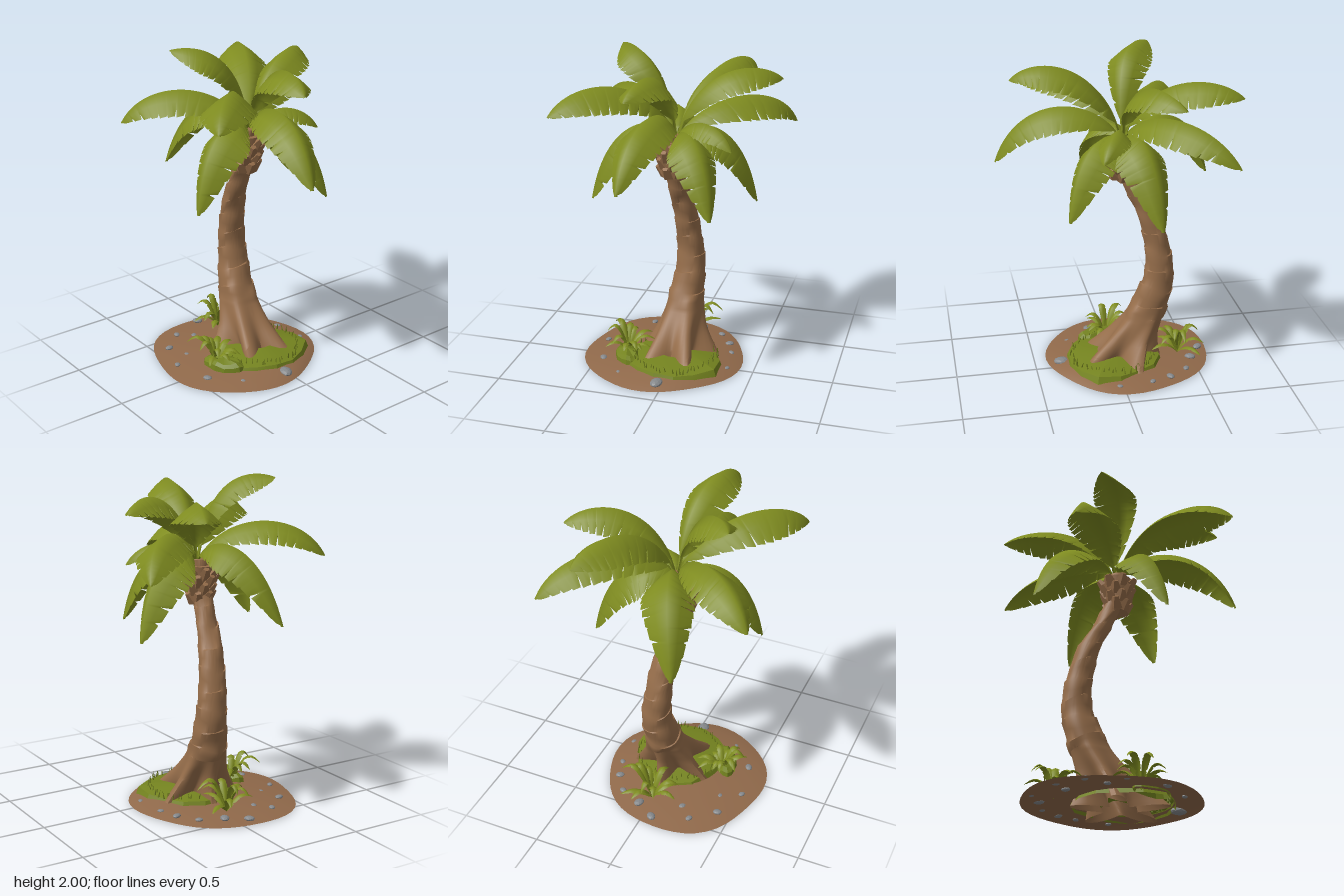
import * as THREE from 'three';
import { toCreasedNormals } from 'three/addons/utils/BufferGeometryUtils.js';

const V = (x, y, z) => new THREE.Vector3(x, y, z);
const mat = (name, color, side = THREE.FrontSide) => Object.assign(new THREE.MeshStandardMaterial({ color, side }), { name });

// seeded random numbers
function makeRandom(seed) {
  let s = seed;
  return () => (s = (s * 16807) % 2147483647) / 2147483647;
}

// surface from a rule: rows x cols of points
function grid(rows, cols, point, crease = 0.6) {
  const pos = [], idx = [];
  for (let j = 0; j < rows; j++) for (let i = 0; i < cols; i++) {
    const p = point(i, j);
    pos.push(p.x, p.y, p.z);
    if (i < cols - 1 && j < rows - 1) {
      const a = j * cols + i, b = a + 1, c = a + cols, d = c + 1;
      idx.push(a, c, b, b, c, d);
    }
  }
  const g = new THREE.BufferGeometry();
  g.setAttribute('position', new THREE.Float32BufferAttribute(pos, 3));
  g.setIndex(idx);
  return toCreasedNormals(g, crease);
}

// drooping leaf along a curve, with slits cut into both edges
function leaf(curve, width, leaflets, rnd, roof = 0.74, stem = 0.08) {
  const rows = [{ t: 0, k: [1, 1] }];
  for (let n = 0; n < leaflets; n++) {
    const at = f => stem + (1 - stem) * (n + f) / leaflets;
    const cut = () => (rnd() < 0.25 ? 0.95 : 0.55 + 0.35 * rnd());
    rows.push({ t: at(0), k: [1, 1] }, { t: at(0.4), k: [1.02, 1.02] },
      { t: at(0.78), k: [1.05, 1.05] }, { t: at(0.89), k: [cut(), cut()] });
  }
  rows.push({ t: 1, k: [1, 1] });
  const a = curve.getPoint(0), b = curve.getPoint(1);
  const side = V(b.z - a.z, 0, a.x - b.x).normalize();
  return grid(rows.length, 5, (i, j) => {
    const { t, k } = rows[j], u = (i - 2) / 2, m = Math.abs(u);
    const tt = Math.min(1, Math.max(0, (t - stem) / (1 - stem)));
    const w = Math.max(width * 0.07, width * Math.pow(Math.max(0, Math.sin(Math.PI * Math.pow(tt, 0.93))), 0.6));
    const tan = curve.getTangent(t), nor = V().crossVectors(tan, side).normalize();
    const r = w * (m === 1 ? k[u < 0 ? 0 : 1] : m);
    return curve.getPoint(t).addScaledVector(side, Math.sign(u) * r * 0.88)
      .addScaledVector(nor, -roof * r * Math.pow(m, 0.2)).addScaledVector(tan, 0.2 * r * (1 - tt));
  }, 1.4);
}

export function createModel() {
  const root = new THREE.Group();
  root.name = 'palmTree';
  const rnd = makeRandom(4242);
  const bark = mat('bark brown', 0x956d4a, THREE.DoubleSide);
  const soil = mat('soil brown', 0x90694a, THREE.DoubleSide);
  const green = mat('frond green', 0x7f8c20, THREE.DoubleSide);
  const grass = mat('grass green', 0x74831f, THREE.DoubleSide);
  const gray = mat('stone gray', 0x85888b);
  const add = (name, geo, m, parent = root) => {
    const mesh = new THREE.Mesh(geo, m);
    mesh.name = name;
    parent.add(mesh);
    return mesh;
  };
  const group = name => {
    const g = new THREE.Group();
    g.name = name;
    root.add(g);
    return g;
  };

  // thin irregular ring of soil rising toward the trunk, open in the middle
  add('soilPatch', grid(5, 49, (i, j) => {
    const a = i / 48 * Math.PI * 2, f = j / 4;
    const rim = 0.505 + 0.01 * Math.sin(3 * a + 1) + 0.01 * Math.sin(5 * a);
    const r = rim * (1 - f) + 0.27 * f;
    return V(-0.1 * (1 - f) - 0.02 * f + r * Math.cos(a), 0.004 + 0.041 * Math.pow(f, 0.8), -0.1 * (1 - f) + 0.01 * f + r * 1.03 * Math.sin(a));
  }), soil);

  // trunk: horizontal rings with root lobes below and overlapping bark steps above
  const spine = [ // y, x, z, radius, lobe strength
    [0, 0, -0.01, 0.135, 1.25], [0.05, 0, -0.03, 0.135, 0.95], [0.12, 0, -0.065, 0.137, 0.58],
    [0.2, 0, -0.11, 0.13, 0.3], [0.3, 0.005, -0.17, 0.119, 0.12], [0.4, 0.01, -0.22, 0.108, 0.03],
    [0.6, 0.025, -0.275, 0.09, 0], [0.8, 0.012, -0.265, 0.08, 0], [1, -0.008, -0.21, 0.072, 0],
    [1.2, -0.032, -0.11, 0.06, 0], [1.35, -0.04, -0.055, 0.058, 0], [1.5, -0.03, -0.04, 0.05, 0]];
  const path = new THREE.CatmullRomCurve3(spine.map(s => V(s[1], s[0], s[2])));
  const size = new THREE.CatmullRomCurve3(spine.map(s => V(s[3], s[4], 0)));
  const lobes = [62, 130, 205, 272, 338].map(d => d * Math.PI / 180);
  const rings = [];
  for (let n = 0; n <= 18; n++) rings.push({ t: n / 18 * 0.4, k: 1 });
  for (let n = 0; n < 11; n++) {
    const t0 = 0.406 + n * 0.054;
    rings.push({ t: t0 + 0.003, k: 0.98 }, { t: t0 + 0.027, k: 1 }, { t: t0 + 0.052, k: 1.05 });
  }
  rings.push({ t: 1, k: 1 }, { t: 1, k: 0 });
  add('trunk', grid(rings.length, 61, (i, j) => {
    const { t, k } = rings[j], a = i / 60 * Math.PI * 2;
    const c = path.getPoint(t), s = size.getPoint(t);
    let lobe = -0.35;
    for (const l of lobes) lobe += Math.pow(Math.max(0, Math.cos(a - l)), 16) * 1.35;
    const r = k * s.x * (1 + s.y * lobe);
    const tilt = t > 0.4 && t < 0.99 ? 0.012 * Math.sin(a * 2 + j) + 0.2 * r * Math.sin(a) : 0;
    return V(c.x + r * Math.cos(a), c.y + tilt, c.z + r * Math.sin(a));
  }, 0.7), bark);

  // husk of chunky cut leaf stubs under the crown
  const crownHusk = group('crownHusk');
  add('huskCore', new THREE.CylinderGeometry(0.09, 0.068, 0.19, 12), bark, crownHusk).position.set(-0.037, 1.365, -0.045);
  for (let row = 0; row < 4; row++) for (let n = 0; n < 7; n++) {
    const a = (n + row * 0.5) / 7 * Math.PI * 2, r = 0.066 + row * 0.009;
    const stub = add('leafStub', toCreasedNormals(new THREE.CylinderGeometry(0.02, 0.046, 0.07, 5), 0.3), bark, crownHusk);
    stub.position.set(-0.037 + r * Math.cos(a), 1.272 + row * 0.05 + 0.012 * rnd(), -0.047 + r * Math.sin(a));
    stub.rotation.set(0, -a, -0.7, 'YXZ');
    stub.scale.x = 0.75;
  }

  // fronds: tip x, y, z, height of the arch at mid length, half width, sideways bend x, z
  const fronds = [
    [-0.62, 1.53, -0.5, 1.73, 0.16, 0, 0], [-0.23, 1.17, -0.63, 1.6, 0.17, 0.05, 0], [0.33, 1.8, -0.69, 1.87, 0.16, 0.04, 0.02],
    [0.62, 1.48, -0.6, 1.7, 0.16, 0.04, 0.05], [0.58, 1.82, -0.29, 1.88, 0.15, 0, 0.06], [0.37, 1.47, 0.13, 1.6, 0.1, 0, -0.02],
    [0.29, 1.1, 0.32, 1.52, 0.165, 0, 0], [-0.13, 1.85, 0.6, 1.92, 0.15, 0.02, 0], [-0.15, 1.35, 0.7, 1.69, 0.165, 0, 0],
    [-0.62, 1.7, 0.48, 1.83, 0.17, -0.02, -0.02], [-0.41, 1.98, -0.28, 1.95, 0.145, 0, 0.08], [-0.5, 1.1, 0.1, 1.55, 0.175, 0, 0],
    [0.46, 1.07, -0.2, 1.53, 0.18, 0, 0]];
  const crown = group('crown');
  for (const [x, y, z, arch, w, bx, bz] of fronds) {
    const c = V(-0.01, 1.48, -0.05), h = (arch - (c.y + y) / 8) / 0.75;
    const at = f => V(c.x + (x - c.x) * f + bx, h, c.z + (z - c.z) * f + bz);
    add('frond', leaf(new THREE.CubicBezierCurve3(c, at(0.2), at(0.82), V(x, y, z)), w, 12, rnd), green, crown);
  }

  // grassy mounds around the roots: faceted shells, inner is the radius of the top row
  const mound = (name, cx, cz, rx, rz, h, turn, inner) => {
    const m = add(name, grid(4, 15, (i, j) => {
      const a = (i % 14) / 14 * Math.PI * 2, k = 1 + 0.06 * Math.sin(a * 3 + cx * 9) + 0.04 * Math.sin(a * 5);
      const r = [1, 0.95, 0.72, inner][j] * k, y = [0.25, 0.66, 0.85, 1][j];
      return V(rx * r * Math.cos(a), h * y * (j === 1 || j === 2 ? 1 + 0.1 * Math.sin(a * 4) : 1), rz * r * Math.sin(a));
    }, 0.3), grass);
    m.position.set(cx, 0, cz);
    m.rotation.y = turn;
  };
  mound('grassMound', 0, 0.015, 0.305, 0.305, 0.092, 0, 0.32);
  mound('sideMound', -0.3, 0.07, 0.14, 0.07, 0.1, -1.1, 0);

  // fringe of short grass blades
  const fringe = group('grassFringe');
  for (let n = 0; n < 60; n++) {
    const a = (n + rnd()) / 60 * Math.PI * 2, r = 0.24 + 0.03 * rnd();
    const blade = add('grassBlade', new THREE.ConeGeometry(0.007, 0.05, 3), grass, fringe);
    blade.position.set(r * Math.cos(a), 0.08, 0.015 + r * Math.sin(a));
    blade.rotation.set(0.5 * (rnd() - 0.5), 0, 0.5 * (rnd() - 0.5));
  }

  // small ferns
  for (const [cx, cz, s] of [[-0.31, 0, 0.95], [0.0, -0.41, 1.05]]) {
    const fern = group('fern');
    for (let n = 0; n < 12; n++) {
      const a = n * 2.4 + cx, len = s * (0.12 + 0.07 * rnd()), h = s * (0.1 + 0.14 * rnd());
      const at = (f, y) => V(cx + Math.cos(a) * len * f, y, cz + Math.sin(a) * len * f);
      const curve = new THREE.CubicBezierCurve3(at(0, 0.03), at(0.25, h * 0.9), at(0.6, h * 1.3), at(1.05, h * 0.8));
      add('fernLeaf', leaf(curve, 0.026, 4, rnd, 0.4, 0.02), green, fern);
    }
  }

  // half-buried stones: x, z, size
  const stones = [[-0.03, 0.335, 0.046], [-0.06, -0.56, 0.03], [0.06, -0.48, 0.032], [0.2, -0.42, 0.022],
    [0.28, -0.3, 0.026], [0.32, -0.18, 0.02], [-0.28, -0.48, 0.022], [-0.42, -0.36, 0.025], [-0.5, -0.15, 0.02],
    [-0.45, 0.1, 0.026], [-0.2, -0.4, 0.024], [-0.3, 0.26, 0.018], [0.34, 0.03, 0.018], [-0.38, -0.22, 0.02]];
  const pebbles = group('stones');
  for (const [x, z, r] of stones) {
    const stone = add('stone', toCreasedNormals(new THREE.IcosahedronGeometry(r, 1), 0.3), gray, pebbles);
    stone.position.set(x, 0.02 + r * 0.15, z);
    stone.scale.set(1.1, 0.5, 0.85);
    stone.rotation.y = rnd() * 3;
  }
  return root;
}
